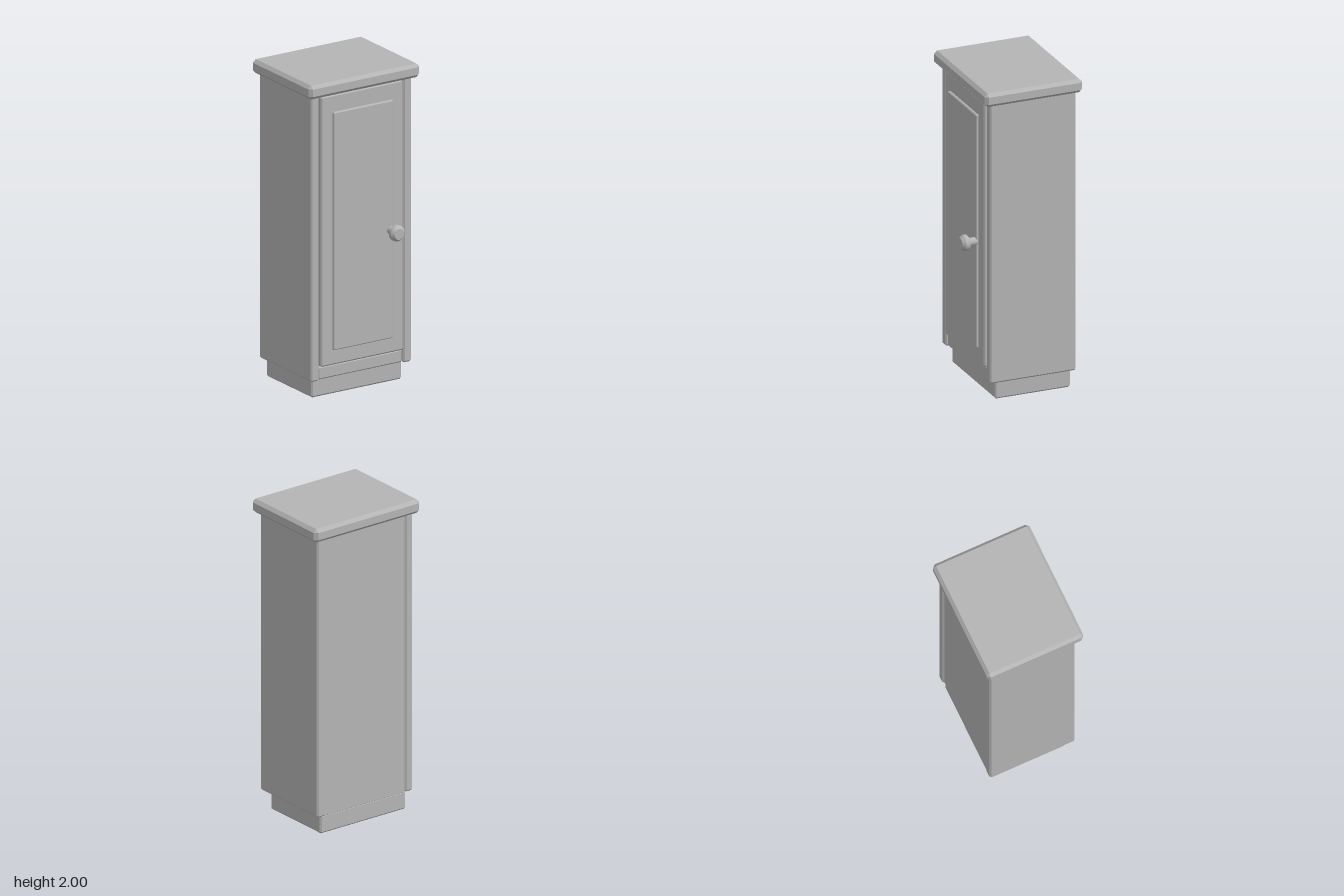
import * as THREE from 'three';
import { ConvexGeometry } from 'three/addons/geometries/ConvexGeometry.js';

const grey = new THREE.MeshStandardMaterial({ color: 0xb4b4b4 });
grey.name = 'plain grey';

// Box between two corners with every edge chamfered by c
function chamferBox(name, [x0, x1], [y0, y1], [z0, z1], c) {
  const half = new THREE.Vector3(x1 - x0, y1 - y0, z1 - z0).multiplyScalar(0.5);
  const points = [];
  for (const sx of [-1, 1]) for (const sy of [-1, 1]) for (const sz of [-1, 1]) {
    for (const axis of ['x', 'y', 'z']) {
      const p = half.clone().subScalar(c);
      p[axis] += c;
      points.push(p.multiply(new THREE.Vector3(sx, sy, sz)));
    }
  }
  const mesh = new THREE.Mesh(new ConvexGeometry(points), grey);
  mesh.position.set((x0 + x1) / 2, (y0 + y1) / 2, (z0 + z1) / 2);
  mesh.name = name;
  return mesh;
}

// Knob turned around the z axis, with each profile segment kept crisp
function makeKnob() {
  const knob = new THREE.Group();
  knob.name = 'knob';
  const profile = [[0.025, 0.25], [0.025, 0.3], [0.034, 0.3], [0.05, 0.316],
    [0.05, 0.336], [0.034, 0.356], [0, 0.356]];
  for (let i = 0; i < profile.length - 1; i++) {
    const pts = [profile[i], profile[i + 1]].map(([r, h]) => new THREE.Vector2(r, h));
    const ring = new THREE.Mesh(new THREE.LatheGeometry(pts, 32), grey);
    ring.name = i === 0 ? 'knobStem' : 'knobHead';
    knob.add(ring);
  }
  knob.rotation.x = Math.PI / 2;
  knob.position.set(0.192, 0.983, 0);
  return knob;
}

export function createModel() {
  const cabinet = new THREE.Group();
  cabinet.name = 'cabinet';

  // Base and top
  cabinet.add(chamferBox('plinth', [-0.324, 0.322], [0, 0.118], [-0.307, 0.185], 0.01));
  cabinet.add(chamferBox('topSlab', [-0.397, 0.397], [1.913, 2], [-0.358, 0.278], 0.02));

  // Side panels
  for (const s of [-1, 1]) {
    const xs = s < 0 ? [-0.36, -0.302] : [0.302, 0.36];
    cabinet.add(chamferBox(s < 0 ? 'rightSide' : 'leftSide', xs, [0.118, 1.915], [-0.328, 0.235], 0.01));
  }

  // Inner carcass with back, recessed between the sides
  cabinet.add(chamferBox('carcass', [-0.305, 0.305], [0.115, 1.915], [-0.316, 0.205], 0.003));
  cabinet.add(chamferBox('bottomRail', [-0.3, 0.3], [0.12, 0.2], [0.15, 0.222], 0.008));

  // Door with raised panel and knob
  cabinet.add(chamferBox('door', [-0.295, 0.293], [0.203, 1.908], [0.19, 0.244], 0.01));
  cabinet.add(chamferBox('doorPanel', [-0.215, 0.213], [0.3, 1.8], [0.23, 0.26], 0.006));
  cabinet.add(makeKnob());

  return cabinet;
}
